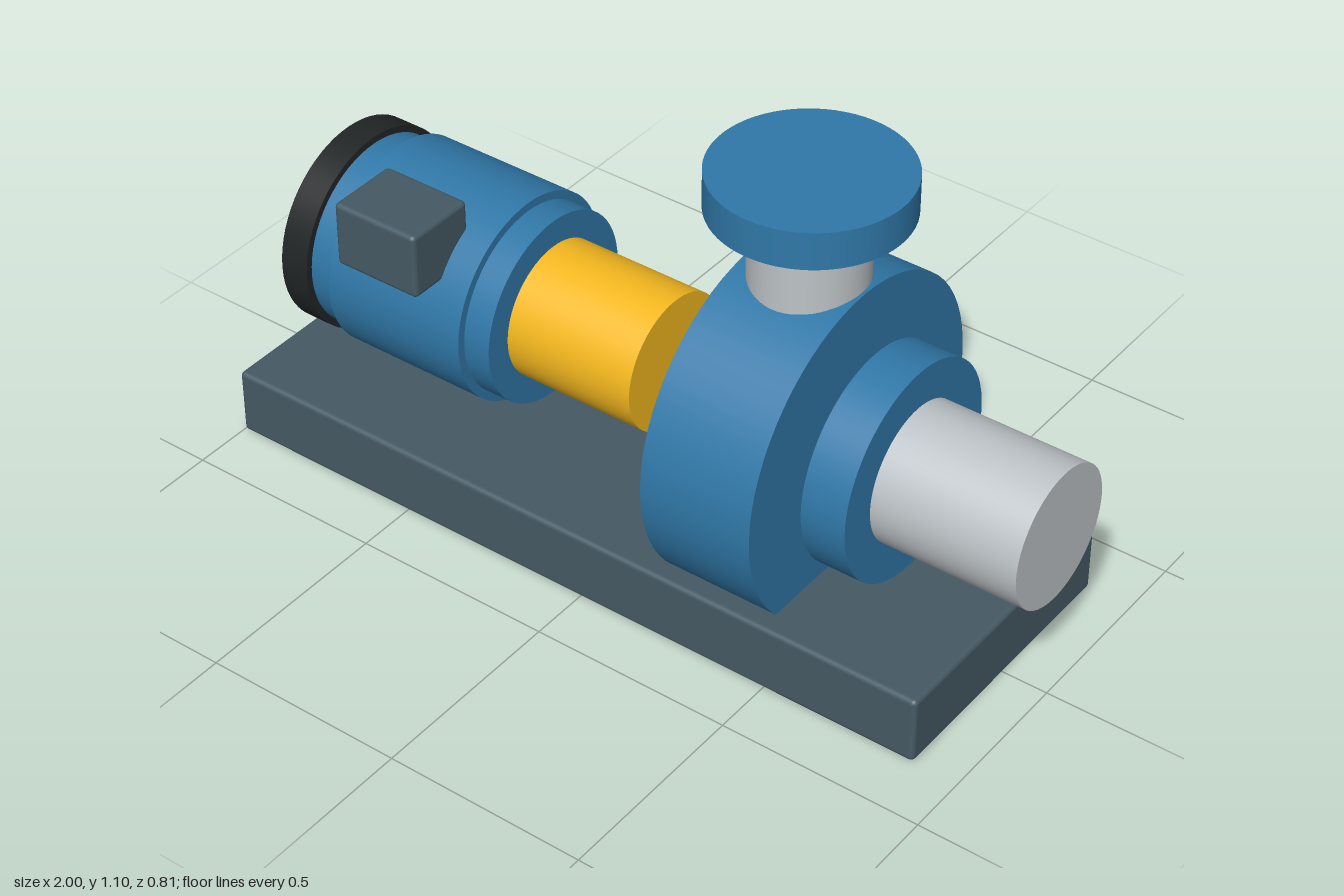
import * as THREE from 'three';
import { RoundedBoxGeometry } from 'three/addons/geometries/RoundedBoxGeometry.js';

const AXIS_Y = 0.44;   // height of the motor and pump shaft line
const OUTLET_X = 0.352; // centre of the pump casing and its outlet

const paint = (color) => new THREE.MeshStandardMaterial({ color });

export function createModel() {
  const group = new THREE.Group();
  const blue = paint(0x3078a8);
  const slate = paint(0x455a64);
  const yellow = paint(0xf4b81f);
  const steel = paint(0xbdc3c7);
  const black = paint(0x212526);

  const add = (name, geometry, material, x, y, z = 0) => {
    const mesh = new THREE.Mesh(geometry, material);
    mesh.name = name;
    mesh.position.set(x, y, z);
    group.add(mesh);
  };

  // Cylinder lying along the shaft line, from x0 to x1
  const drum = (name, x0, x1, radius, material) => {
    const geometry = new THREE.CylinderGeometry(radius, radius, x1 - x0, 64);
    geometry.rotateZ(-Math.PI / 2);
    add(name, geometry, material, (x0 + x1) / 2, AXIS_Y);
  };

  // Upright cylinder on the outlet line, from y0 to y1
  const post = (name, y0, y1, radius, material) =>
    add(name, new THREE.CylinderGeometry(radius, radius, y1 - y0, 64), material, OUTLET_X, (y0 + y1) / 2);

  // Softly rounded block
  const block = (name, size, position, material) =>
    add(name, new RoundedBoxGeometry(...size, 3, 0.012), material, ...position);

  // Base plate
  block('basePlate', [1.89, 0.17, 0.71], [-0.055, 0.085, 0], slate);

  // Motor
  drum('motorFanCover', -0.935, -0.86, 0.252, black);
  drum('motorBody', -0.86, -0.34, 0.235, blue);
  drum('motorSleeve', -0.79, -0.41, 0.256, blue);
  block('terminalBox', [0.23, 0.165, 0.185], [-0.602, 0.655, 0.208], slate);

  // Coupling guard
  drum('couplingGuard', -0.34, 0, 0.168, yellow);

  // Pump casing with its inlet
  drum('pumpCasing', 0.21, 0.494, 0.405, blue);
  drum('shaftTip', 0.45, 0.498, 0.008, black);
  drum('inletFlange', 0.525, 0.637, 0.262, blue);
  drum('inletPipe', 0.54, 1, 0.168, steel);

  // Outlet
  post('outletPipe', 0.7, 1.03, 0.134, steel);
  post('outletFlange', 1.01, 1.102, 0.227, blue);

  return group;
}
